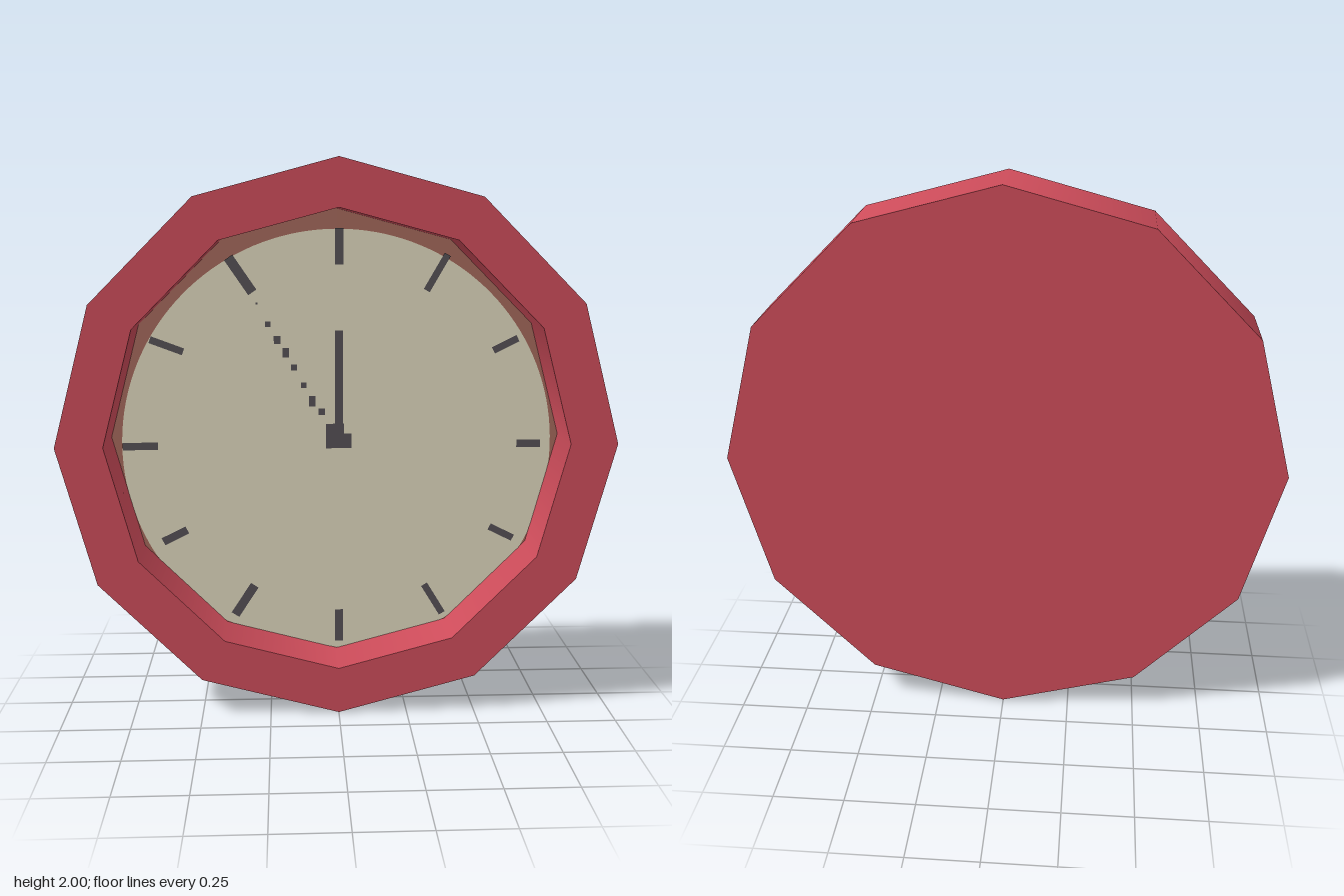
import * as THREE from 'three';
import { mergeGeometries } from 'three/addons/utils/BufferGeometryUtils.js';

const SIDES = 12, HALF = 0.132, INNER = 0.83, FLOOR = -0.085;

const material = (name, color, side = THREE.FrontSide) => {
  const m = new THREE.MeshStandardMaterial({ color, side });
  m.name = name;
  return m;
};

// one band of the turned body between two [radius, z] points
function band([r1, z1], [r2, z2]) {
  return new THREE.LatheGeometry(
    [new THREE.Vector2(r1, z1), new THREE.Vector2(r2, z2)], SIDES
  ).rotateX(Math.PI / 2);
}

// dial disc, trimmed where it meets the twelve walls of the recess
function dialGeometry(cx, cy, radius) {
  const apothem = INNER * Math.cos(Math.PI / SIDES);
  const points = [];
  for (let i = 0; i < 144; i++) {
    const a = (i / 144) * Math.PI * 2;
    let r = radius;
    for (let k = 0; k < SIDES; k++) {
      const n = ((k + 0.5) / SIDES) * Math.PI * 2;
      const along = Math.cos(a - n);
      if (along > 0.01) {
        r = Math.min(r, (apothem - cx * Math.cos(n) - cy * Math.sin(n)) / along);
      }
    }
    points.push(new THREE.Vector2(cx + r * Math.cos(a), cy + r * Math.sin(a)));
  }
  return new THREE.ShapeGeometry(new THREE.Shape(points));
}

// flat painted bar from one point to another (heights measured from the ground)
function bar(x1, y1, x2, y2, width) {
  return new THREE.PlaneGeometry(Math.hypot(x2 - x1, y2 - y1), width)
    .rotateZ(Math.atan2(y2 - y1, x2 - x1))
    .translate((x1 + x2) / 2, (y1 + y2) / 2 - 1, 0);
}

export function createModel() {
  const red = material('red casing', 0xcd4c5a);
  const brown = material('brown dial border', 0xa3685b);
  const cream = material('cream dial', 0xdfd8bd);
  const dark = material('dark markings', 0x555055);

  const clock = new THREE.Group();
  clock.name = 'wallClock';
  clock.position.y = 1;
  const add = (name, geometry, mat, z = 0) => {
    const mesh = new THREE.Mesh(geometry, mat);
    mesh.name = name;
    mesh.position.z = z;
    clock.add(mesh);
  };

  // casing: back, outer wall, front rim, inner wall
  const profile = [[0, -HALF], [1, -HALF], [1, HALF], [INNER, HALF], [INNER, FLOOR]];
  const bands = profile.slice(1).map((p, i) => band(profile[i], p));
  add('casing', mergeGeometries(bands), red);

  // recessed floor and the dial on it
  add('dialBorder', band([INNER, FLOOR], [0, FLOOR]), brown);
  add('dial', dialGeometry(0.005, -0.04, 0.797), cream, FLOOR + 0.003);

  // hour marks
  const marks = [
    [0.01, 1.63, 0.01, 1.76, 0.03], [0.01, 0.2, 0.01, 0.325, 0.03],
    [-0.79, 0.965, -0.66, 0.965, 0.028], [0.675, 0.965, 0.765, 0.965, 0.028],
    [0.33, 1.535, 0.405, 1.665, 0.025], [-0.305, 1.53, -0.39, 1.655, 0.036],
    [0.58, 1.315, 0.67, 1.36, 0.026], [-0.56, 1.315, -0.68, 1.36, 0.026],
    [0.58, 0.645, 0.67, 0.6, 0.026], [-0.56, 0.645, -0.65, 0.6, 0.03],
    [0.335, 0.42, 0.405, 0.305, 0.026], [-0.31, 0.425, -0.385, 0.31, 0.034],
  ];
  add('hourMarks', mergeGeometries(marks.map(m => bar(...m))), dark, FLOOR + 0.006);

  // hour hand with its stepped hub
  add('hourHand', bar(0.01, 1, 0.01, 1.39, 0.03), dark, FLOOR + 0.006);
  add('hub', mergeGeometries([
    bar(-0.038, 0.98, 0.057, 0.98, 0.055), bar(-0.038, 1.025, 0.028, 1.025, 0.04),
  ]), dark, FLOOR + 0.007);

  // broken minute hand: [x, y, height] of each dash
  const dashes = [
    [-0.055, 1.09, 0.025], [-0.09, 1.13, 0.04], [-0.12, 1.19, 0.02], [-0.155, 1.255, 0.022],
    [-0.185, 1.31, 0.035], [-0.217, 1.357, 0.03], [-0.25, 1.415, 0.02], [-0.29, 1.49, 0.008],
  ];
  add('minuteHand', mergeGeometries(dashes.map(([x, y, h]) =>
    bar(x, y - h / 2, x, y + h / 2, Math.min(h, 0.024)))), dark, FLOOR + 0.006);

  const model = new THREE.Group();
  model.name = 'model';
  model.add(clock);
  return model;
}
